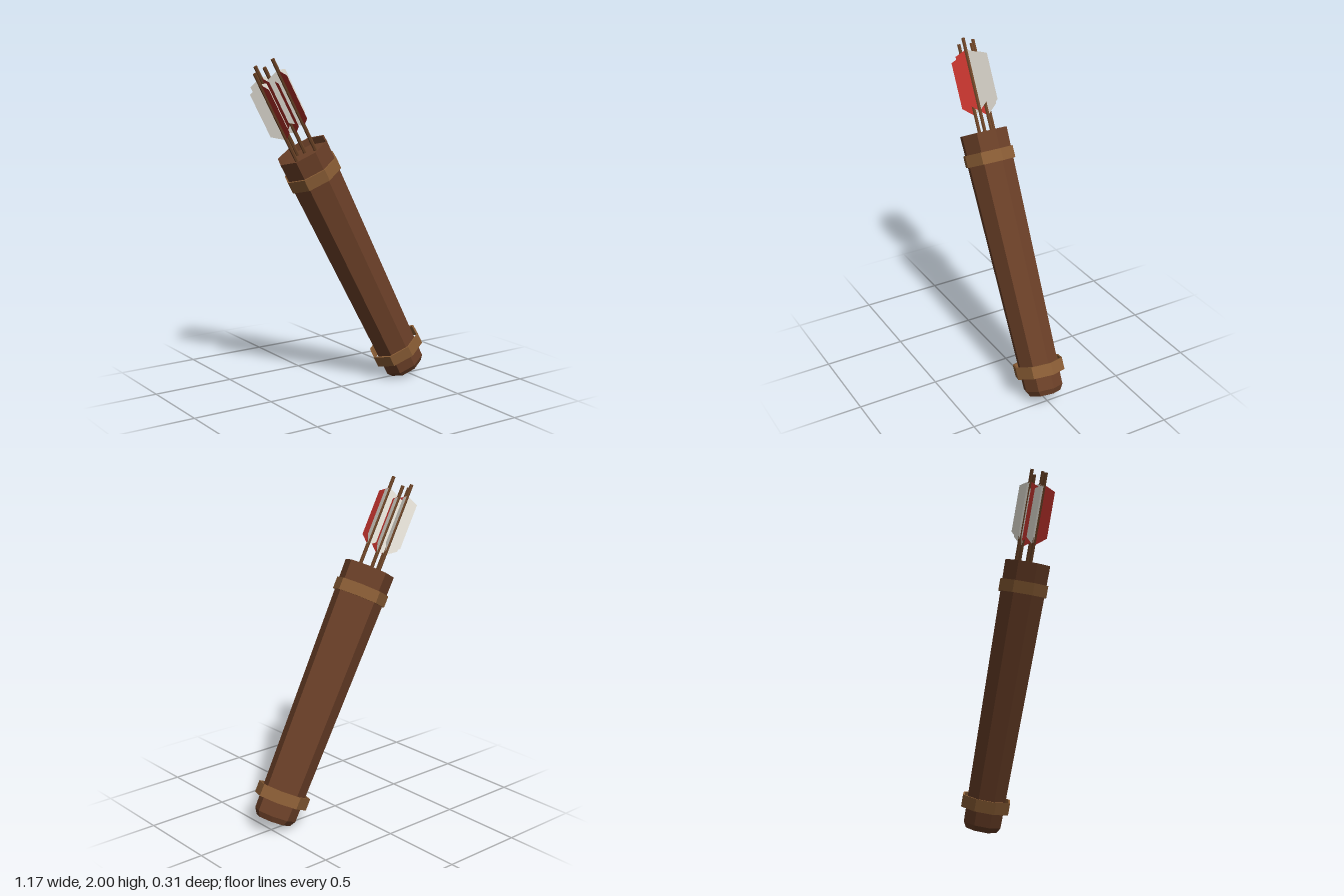
import * as THREE from 'three';

const paint = (color, side = THREE.FrontSide) =>
  new THREE.MeshStandardMaterial({ color, flatShading: true, side });

const leather = paint(0x6b4028);
const strap = paint(0x8a5d35);
const wood = paint(0x6b4326);
const white = paint(0xe6e2d8, THREE.DoubleSide);
const red = paint(0xb8302a, THREE.DoubleSide);

function add(parent, name, geometry, material) {
  const mesh = new THREE.Mesh(geometry, material);
  mesh.name = name;
  parent.add(mesh);
  return mesh;
}

// Eight-sided turned shape, narrower from front to back
function octagonal(points, depth) {
  const g = new THREE.LatheGeometry(points.map(p => new THREE.Vector2(...p)), 8);
  return g.scale(1, 1, depth);
}

function band(y, inner, outer, h = 0.036) {
  return octagonal([
    [inner, y - h], [outer, y - h], [outer, y + h], [inner, y + h], [inner, y - h],
  ], 0.87);
}

// Vane outline in the arrow's own frame, tip at y = 0
function vaneGeometry() {
  const s = new THREE.Shape();
  s.moveTo(0, -0.435);
  s.lineTo(0.075, -0.378);
  s.lineTo(0.075, -0.1);
  s.lineTo(0.01, -0.074);
  s.lineTo(0, -0.074);
  return new THREE.ShapeGeometry(s);
}

function makeArrow(length) {
  const arrow = new THREE.Group();
  arrow.name = 'arrow';
  const shaft = new THREE.CylinderGeometry(0.011, 0.011, length, 6);
  add(arrow, 'arrowShaft', shaft.translate(0, -length / 2, 0), wood);
  // One red vane to the front, two white ones behind
  const vane = vaneGeometry();
  [[-90, red, 'redVane'], [30, white, 'whiteVane'], [150, white, 'whiteVane']].forEach(([deg, mat, name]) => {
    add(arrow, name, vane, mat).rotation.y = THREE.MathUtils.degToRad(deg);
  });
  return arrow;
}

export function createModel() {
  const model = new THREE.Group();
  model.name = 'quiver';

  // Everything is built upright, then leaned over
  const body = new THREE.Group();
  body.name = 'leaningQuiver';
  body.position.set(0.478, 0.06, 0.007);
  body.rotation.set(-0.006, 0, THREE.MathUtils.degToRad(27.92));
  model.add(body);

  // Tapered case with chamfered foot and a sunken top inside the rim
  add(body, 'case', octagonal([
    [0, 0], [0.114, 0], [0.137, 0.034], [0.166, 1.601],
    [0.156, 1.601], [0.152, 1.56], [0, 1.56],
  ], 0.85), leather);

  // Straps: snug at the top, loose at the bottom
  add(body, 'upperBand', band(1.449, 0.16, 0.174), strap);
  add(body, 'lowerBand', band(0.156, 0.16, 0.172), strap);

  // Arrows: tip position in the upright frame
  [
    [-0.06, 2.137, -0.004],
    [-0.004, 2.147, -0.074],
    [0.029, 2.123, -0.042],
    [0.066, 2.158, 0.021],
  ].forEach(([x, y, z]) => {
    const arrow = makeArrow(y - 1.5);
    arrow.position.set(x, y, z);
    body.add(arrow);
  });

  return model;
}
